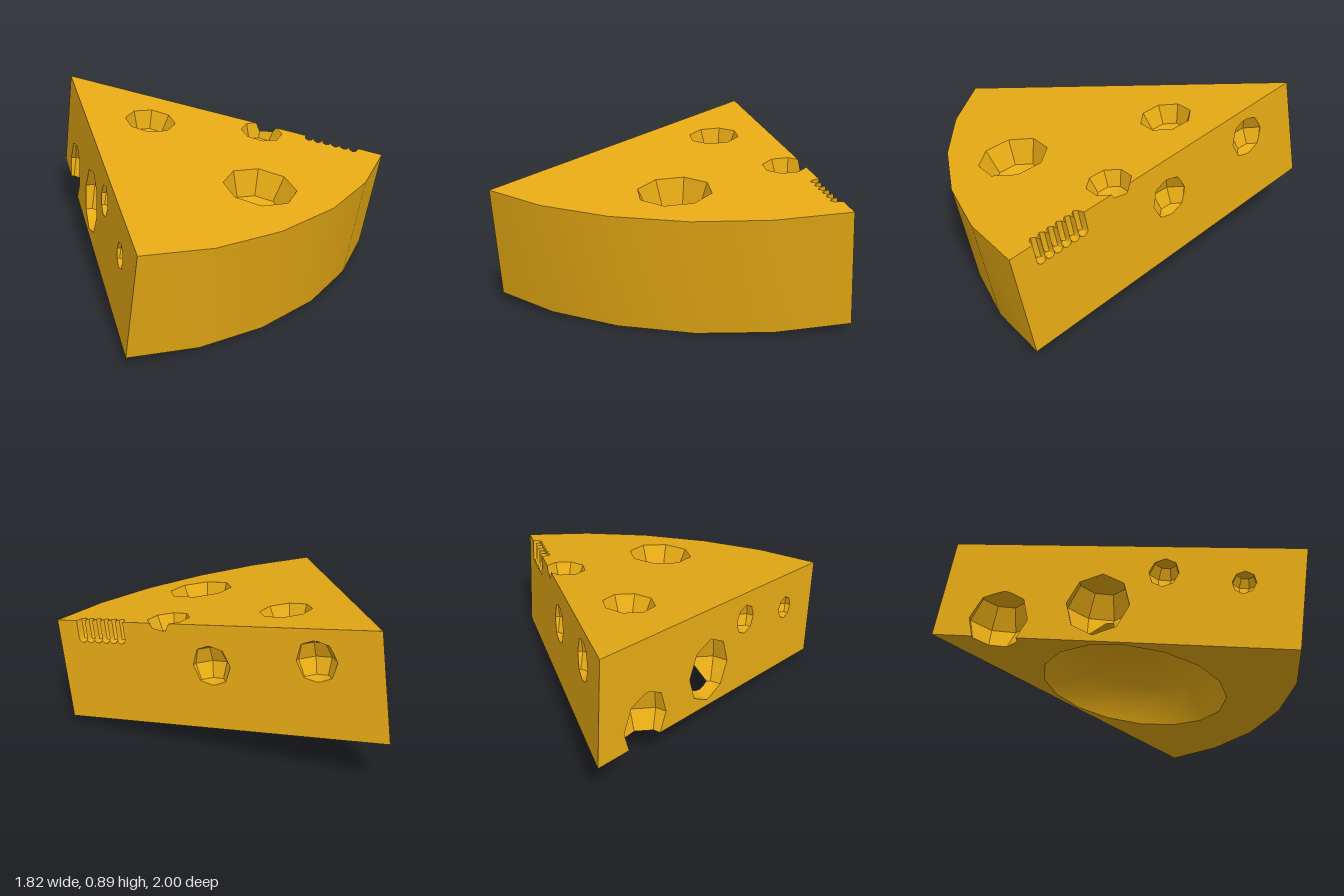
import * as THREE from 'three';
import { toCreasedNormals } from 'three/addons/utils/BufferGeometryUtils.js';

const EPS = 1e-6;
const THICK = 0.583;
const TILT = 0.164;
// Wedge outline: tip, right corner, curved rind, left corner (x, distance from tip)
const OUTLINE = [[0.015, 0], [0.91, 1.715], [0.56, 1.858], [0.19, 1.93],
  [-0.2, 1.925], [-0.57, 1.848], [-0.91, 1.698]];

// A convex solid as a list of triangles, each with its plane
function solid(geometry) {
  const g = geometry.index ? geometry.toNonIndexed() : geometry;
  const p = g.attributes.position;
  const faces = [];
  for (let i = 0; i < p.count; i += 3) {
    const points = [0, 1, 2].map((k) => new THREE.Vector3().fromBufferAttribute(p, i + k));
    if (new THREE.Triangle(...points).getArea() < 1e-9) continue;
    faces.push({ points, plane: new THREE.Plane().setFromCoplanarPoints(...points) });
  }
  const box = new THREE.Box3().setFromPoints(faces.flatMap((f) => f.points));
  return { polys: faces.map((f) => f.points), planes: faces.map((f) => f.plane), box };
}

// Cut a polygon by a plane into its parts behind and in front
function split(poly, plane) {
  const d = poly.map((p) => plane.distanceToPoint(p));
  if (d.every((v) => v <= EPS)) return { back: poly, front: null };
  if (d.every((v) => v >= -EPS)) return { back: null, front: poly };
  const back = [], front = [];
  poly.forEach((p, i) => {
    const j = (i + 1) % poly.length;
    if (d[i] <= EPS) back.push(p);
    if (d[i] >= -EPS) front.push(p);
    if ((d[i] > EPS && d[j] < -EPS) || (d[i] < -EPS && d[j] > EPS)) {
      const cut = p.clone().lerp(poly[j], d[i] / (d[i] - d[j]));
      back.push(cut);
      front.push(cut);
    }
  });
  return { back: back.length > 2 ? back : null, front: front.length > 2 ? front : null };
}

// The part of a polygon inside a convex solid, and the pieces outside it
function clip(poly, body) {
  if (!new THREE.Box3().setFromPoints(poly).intersectsBox(body.box)) {
    return { inside: null, outside: [poly] };
  }
  const outside = [];
  let inside = poly;
  for (const plane of body.planes) {
    const { back, front } = split(inside, plane);
    if (front) outside.push(front);
    inside = back;
    if (!inside) return { inside: null, outside: [poly] };
  }
  return { inside, outside };
}

// Surface of a convex body with convex hollows carved out of it
function carve(body, hollows) {
  const without = (polys, cutters) => cutters.reduce(
    (list, c) => list.flatMap((p) => clip(p, c).outside), polys);
  const shell = without(body.polys, hollows);
  const linings = hollows.map((h) => {
    const lining = h.polys.map((p) => clip(p, body).inside).filter(Boolean);
    return without(lining, hollows.filter((o) => o !== h)).map((p) => [...p].reverse());
  });
  return { shell, linings };
}

// Fan the polygons into a mesh that keeps hard edges sharp
function toMesh(name, polys, material) {
  const points = [];
  for (const p of polys) {
    for (let i = 1; i < p.length - 1; i++) {
      if (new THREE.Triangle(p[0], p[i], p[i + 1]).getArea() > 1e-9) points.push(p[0], p[i], p[i + 1]);
    }
  }
  let g = new THREE.BufferGeometry().setFromPoints(points);
  g.scale(50, 50, 50); // finer matching of shared corners
  g = toCreasedNormals(g, 0.6);
  g.scale(0.02, 0.02, 0.02);
  const mesh = new THREE.Mesh(g, material);
  mesh.name = name;
  return mesh;
}

function ball(name, x, y, z, r, segments = 8, rings = 4) {
  const g = new THREE.SphereGeometry(r, segments, rings).translate(x, y, z);
  return { name, ...solid(g) };
}

// Ball on a side face; t runs from the tip to the given corner, out pushes it off the face
function sideBall(name, corner, t, y, r, out = 0) {
  const dx = corner[0] - OUTLINE[0][0], dz = corner[1];
  const k = (out * Math.sign(dx)) / Math.hypot(dx, dz);
  return ball(name, OUTLINE[0][0] + dx * t + dz * k, y, dz * t - dx * k, r);
}

export function createModel() {
  const material = new THREE.MeshStandardMaterial({ color: 0xe6aa14 });
  const right = OUTLINE[1], left = OUTLINE[6];

  // Solid wedge
  const shape = new THREE.Shape(OUTLINE.map((p) => new THREE.Vector2(...p)));
  const wedge = solid(new THREE.ExtrudeGeometry(shape, { depth: THICK, bevelEnabled: false })
    .rotateX(Math.PI / 2).translate(0, THICK, 0));

  const hollows = [
    // Holes in the top
    ball('topHoleBack', 0.035, THICK, 0.72, 0.143),
    ball('topHoleFront', 0.025, THICK, 1.58, 0.19),
    ball('topHoleEdge', 0.51, THICK, 1.153, 0.118),
    // Holes in the right side
    sideBall('rightHoleBack', right, 0.185, 0.413, 0.12, 0.03),
    sideBall('rightHoleMiddle', right, 0.498, 0.359, 0.12, 0.03),
    // Holes in the left side
    sideBall('leftHoleTip', left, 0.184, 0.11, 0.178, 0.02),
    sideBall('leftHoleMiddle', left, 0.457, 0.22, 0.184),
    sideBall('leftHoleSmall', left, 0.625, 0.421, 0.086),
    sideBall('leftHoleTiny', left, 0.843, 0.373, 0.067),
    // Wide shallow hollow underneath
    ball('bottomHollow', 0.009, -0.2, 1.143, 0.557, 16, 12),
  ];

  // Row of tooth marks along the right top edge
  const edgeAngle = Math.atan2(right[0] - OUTLINE[0][0], right[1]);
  for (let i = 0; i < 6; i++) {
    const z = 1.345 + i * 0.0456;
    const x = THREE.MathUtils.lerp(OUTLINE[0][0], right[0], z / right[1]);
    const g = new THREE.CapsuleGeometry(0.027, 0.2, 3, 8).scale(2, 1, 1)
      .rotateY(edgeAngle).translate(x, THICK, z);
    hollows.push({ name: 'toothMark', ...solid(g) });
  }

  const { shell, linings } = carve(wedge, hollows);
  const cheese = new THREE.Group();
  cheese.name = 'cheeseWedge';
  cheese.add(toMesh('wedgeShell', shell, material));
  linings.forEach((polys, i) => cheese.add(toMesh(hollows[i].name, polys, material)));

  // Lean the wedge forward onto its rind
  cheese.rotation.x = TILT;
  cheese.position.set(0, 0.315, -1);

  const model = new THREE.Group();
  model.name = 'cheese';
  model.add(cheese);
  return model;
}
